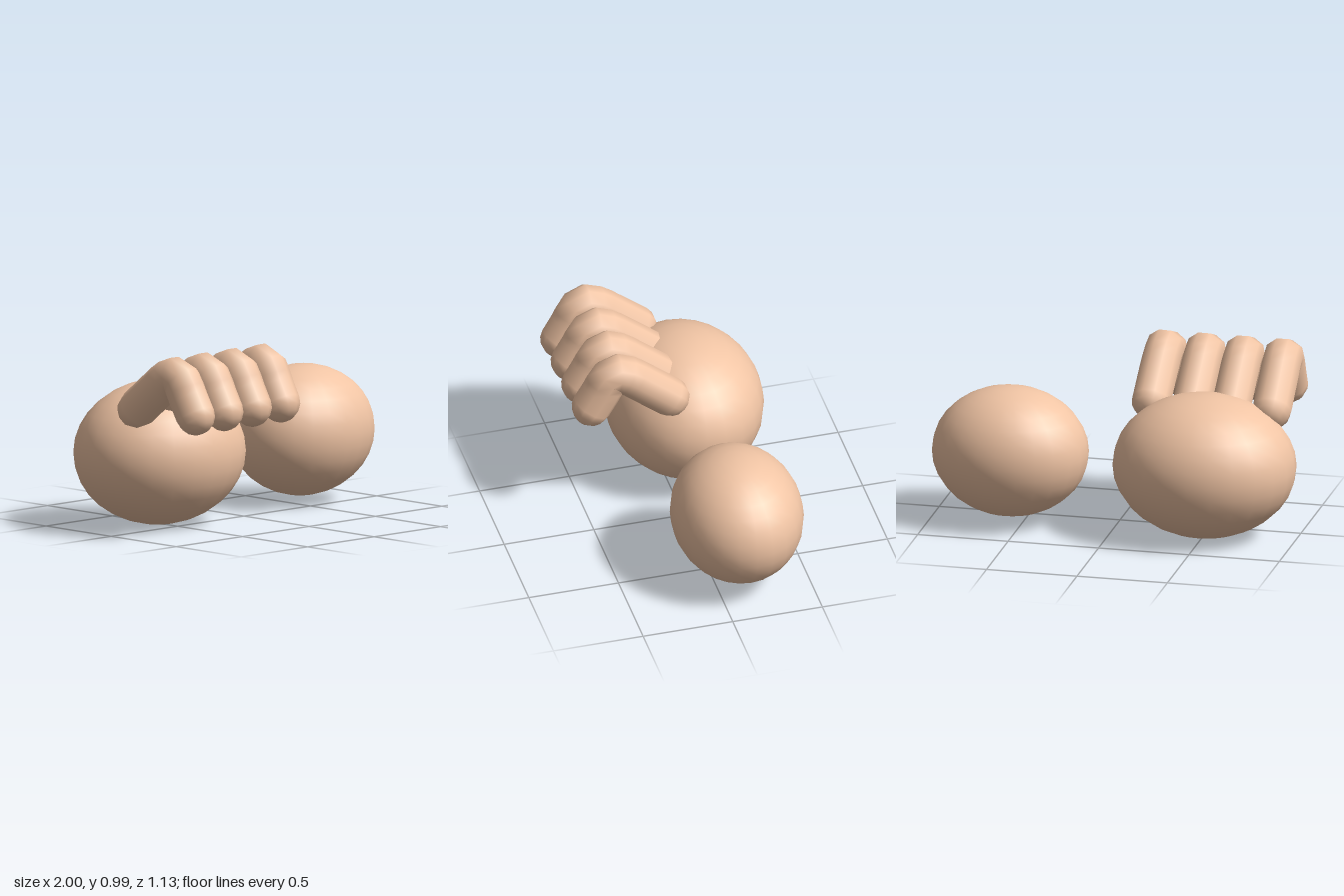
import * as THREE from 'three';

const skin = new THREE.MeshStandardMaterial({ color: 0xf0c4a4 });

function ellipsoid(name, center, radii) {
  const mesh = new THREE.Mesh(new THREE.SphereGeometry(1, 24, 16), skin);
  mesh.name = name;
  mesh.position.set(...center);
  mesh.scale.set(...radii);
  return mesh;
}

// Bent finger: a ten-sided tube with rounded ends
function finger(name, baseX, tipX) {
  const group = new THREE.Group();
  group.name = name;
  const radius = 0.108;
  // [z, y] of the centre line, from the base over the knuckle to the tip
  const line = [[0.03, 0.68], [0.18, 0.8], [0.265, 0.865], [0.325, 0.888],
    [0.365, 0.865], [0.405, 0.79], [0.463, 0.69]];
  const points = line.map(([z, y], i) =>
    new THREE.Vector3(THREE.MathUtils.lerp(baseX, tipX, i / (line.length - 1)), y, z));
  const path = new THREE.CatmullRomCurve3(points);
  group.add(new THREE.Mesh(new THREE.TubeGeometry(path, 12, radius, 10), skin));

  // End caps, with their poles along the tube
  for (const t of [0, 1]) {
    const cap = new THREE.Mesh(new THREE.SphereGeometry(radius, 10, 8), skin);
    cap.position.copy(path.getPoint(t));
    cap.quaternion.setFromUnitVectors(new THREE.Vector3(0, 1, 0), path.getTangent(t));
    group.add(cap);
  }
  return group;
}

export function createModel() {
  const model = new THREE.Group();
  model.name = 'fists';

  // Palm with fingers, and the plain rounded hand beside it
  model.add(ellipsoid('palm', [-0.5, 0.393, -0.138], [0.5, 0.393, 0.428]));
  model.add(ellipsoid('roundHand', [0.573, 0.395, -0.14], [0.427, 0.356, 0.356]));

  // Four fingers mirrored about the palm centre; the outer ones splay at the base
  for (const side of [-1, 1]) {
    const label = side < 0 ? 'right' : 'left';
    model.add(finger(label + 'InnerFinger', -0.5 + side * 0.109, -0.5 + side * 0.107));
    model.add(finger(label + 'OuterFinger', -0.5 + side * 0.333, -0.5 + side * 0.32));
  }
  return model;
}
